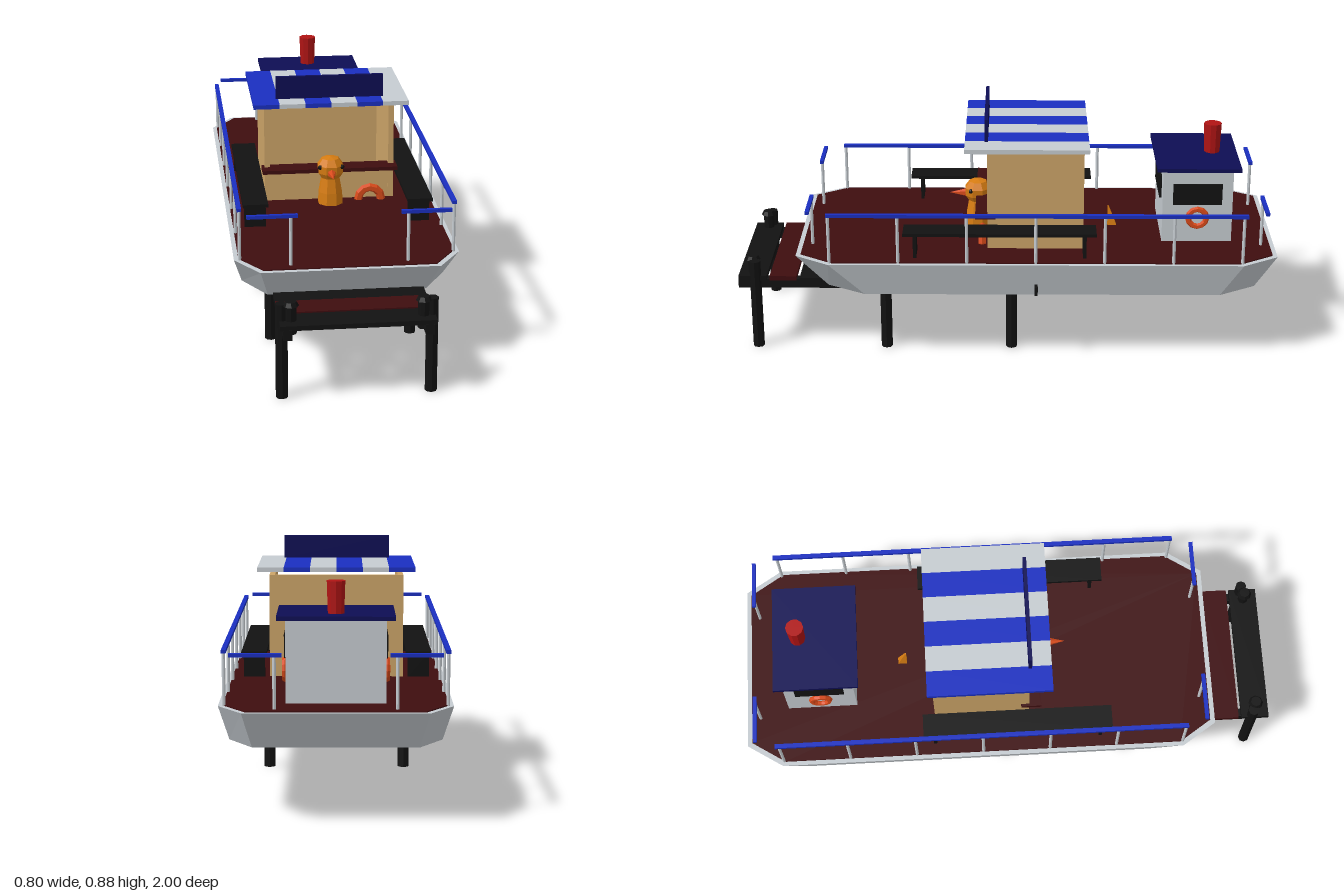
import * as THREE from 'three';

const mat = (name, color) => {
  const m = new THREE.MeshStandardMaterial({ color, flatShading: true });
  m.name = name;
  return m;
};

export function createModel() {
  const group = new THREE.Group();
  const M = {
    white: mat('pale grey paint', 0xc6ccd1),
    deck: mat('dark red planks', 0x3e0d0f),
    blue: mat('bright blue', 0x1a2fc0),
    navy: mat('navy', 0x0e0e54),
    tan: mat('tan wood', 0xcca468),
    black: mat('black', 0x121212),
    orange: mat('orange', 0xd67c12),
    ring: mat('red orange', 0xd84a1a),
    red: mat('red', 0xb01414),
  };
  const add = (name, geo, m, x = 0, y = 0, z = 0) => {
    const mesh = new THREE.Mesh(geo, m);
    mesh.name = name;
    mesh.position.set(x, y, z);
    group.add(mesh);
    return mesh;
  };
  // Box given by its extents on each axis
  const box = (name, m, x0, x1, y0, y1, z0, z1) =>
    add(name, new THREE.BoxGeometry(x1 - x0, y1 - y0, z1 - z0), m,
      (x0 + x1) / 2, (y0 + y1) / 2, (z0 + z1) / 2);
  const cyl = (name, m, rTop, rBottom, y0, y1, x, z, sides = 8) =>
    add(name, new THREE.CylinderGeometry(rTop, rBottom, y1 - y0, sides), m, x, (y0 + y1) / 2, z);

  // Closed solid between two outlines of [x, z] points
  const loft = (bottom, y0, top, y1) => {
    const v = [];
    const tri = (...pts) => pts.forEach(p => v.push(...p));
    const b = bottom.map(([x, z]) => [x, y0, z]);
    const t = top.map(([x, z]) => [x, y1, z]);
    const n = t.length;
    for (let i = 0; i < n; i++) {
      const j = (i + 1) % n;
      tri(b[i], b[j], t[j], b[i], t[j], t[i]);
      if (i > 0 && i < n - 1) tri(t[0], t[i], t[j], b[0], b[j], b[i]);
    }
    const g = new THREE.BufferGeometry();
    g.setAttribute('position', new THREE.Float32BufferAttribute(v, 3));
    g.computeVertexNormals();
    return g;
  };
  // Rectangle with cut corners
  const outline = (x, cx, zf, zfc, zb, zbc) => [
    [cx, zf], [x, zfc], [x, zbc], [cx, zb], [-cx, zb], [-x, zbc], [-x, zfc], [-cx, zf]];

  // Hull and deck
  add('hull', loft(outline(0.363, 0.28, 0.66, 0.52, -0.92, -0.785), 0.26,
    outline(0.396, 0.312, 0.775, 0.648, -0.997, -0.865), 0.39), M.white);
  const deckEdge = outline(0.38, 0.3, 0.757, 0.637, -0.98, -0.855);
  add('deck', loft(deckEdge, 0.385, deckEdge, 0.394), M.deck);
  box('sideFitting', M.black, 0.365, 0.404, 0.273, 0.305, -0.116, -0.104);

  // Keel plate, cone and fins below the hull
  const lens = [[0.03, 0.18], [0.085, 0.02], [0.085, -0.24], [0.02, -0.43],
    [-0.02, -0.43], [-0.085, -0.24], [-0.085, 0.02], [-0.03, 0.18]];
  add('keelPlate', loft(lens, 0.254, lens, 0.262), M.white);
  cyl('keelCone', M.red, 0.048, 0.002, 0.226, 0.251, 0, -0.112);
  for (const s of [-1, 1])
    box('keelFin', M.orange, s * 0.075 - 0.012, s * 0.075 + 0.012, 0.252, 0.258, -0.22, -0.12);

  // Open-fronted stall with counter
  for (const s of [-1, 1])
    box('stallSideWall', M.tan, s * 0.234 - 0.01, s * 0.234 + 0.01, 0.39, 0.767, -0.285, 0.07);
  box('stallBackWall', M.tan, -0.224, 0.224, 0.39, 0.767, -0.285, -0.265);
  box('stallFrontWall', M.tan, -0.224, 0.224, 0.39, 0.514, 0.052, 0.069);
  box('stallFloor', M.tan, -0.224, 0.224, 0.39, 0.4, -0.265, 0.052);
  box('counter', M.deck, -0.254, 0.254, 0.513, 0.527, 0.04, 0.115);

  // Striped awning and blank sign board
  const stripe = 0.0958;
  for (let i = 0; i < 6; i++) {
    const x = (i - 3) * stripe;
    box('awningStripe', i % 2 ? M.white : M.blue, x, x + stripe, 0.78, 0.796, -0.303, 0.152);
  }
  box('signBoard', M.navy, -0.2, 0.2, 0.796, 0.881, 0.067, 0.08);

  // Wheelhouse
  box('wheelhouse', M.white, -0.17, 0.17, 0.39, 0.68, -0.84, -0.58);
  box('wheelhouseRoof', M.navy, -0.2, 0.2, 0.678, 0.692, -0.866, -0.556);
  box('frontWindow', M.black, -0.11, 0.11, 0.545, 0.632, -0.58, -0.572);
  const lifeRing = (x, y, z, R, r) =>
    add('lifeRing', new THREE.TorusGeometry(R, r, 6, 12), M.ring, x, y, z);
  for (const s of [-1, 1]) {
    box('sideWindow', M.black, s * 0.172 - 0.004, s * 0.172 + 0.004, 0.542, 0.622, -0.8, -0.618);
    lifeRing(s * 0.175, 0.49, -0.71, 0.034, 0.011).rotation.y = Math.PI / 2;
  }
  cyl('chimney', M.red, 0.033, 0.029, 0.69, 0.803, 0, -0.773, 10);
  lifeRing(0.152, 0.397, 0.09, 0.043, 0.016);

  // Duck figure
  const profile = [[0, 0.39], [0.049, 0.39], [0.046, 0.44], [0.036, 0.495], [0.049, 0.515],
    [0.051, 0.545], [0.033, 0.57], [0, 0.577]].map(([x, y]) => new THREE.Vector2(x, y));
  add('duckBody', new THREE.LatheGeometry(profile, 8), M.orange, 0, 0, 0.11)
    .rotation.y = Math.PI / 8;
  add('duckBeak', new THREE.ConeGeometry(0.019, 0.075, 6), M.ring, 0, 0.522, 0.18)
    .rotation.x = Math.PI / 2;
  for (const s of [-1, 1])
    add('duckEye', new THREE.SphereGeometry(0.009, 6, 5), M.black, s * 0.041, 0.541, 0.135);
  add('duckTail', loft([[0.013, -0.385], [0.013, -0.42], [-0.013, -0.42], [-0.013, -0.385]], 0.39,
    [[0.003, -0.385], [0.003, -0.389], [-0.003, -0.389], [-0.003, -0.385]], 0.47), M.orange);

  for (const s of [-1, 1]) {
    // Benches
    box('benchSeat', M.black, s * 0.3 - 0.046, s * 0.3 + 0.046, 0.48, 0.492, -0.33, 0.378);
    for (const z of [0.335, -0.288])
      box('benchLeg', M.black, s * 0.3 - 0.039, s * 0.3 + 0.039, 0.39, 0.482, z - 0.006, z + 0.006);

    // Railings
    box('sideRail', M.blue, s * 0.376 - 0.008, s * 0.376 + 0.008, 0.569, 0.581, -0.875, 0.652);
    for (let i = 0; i < 7; i++)
      cyl('railPost', M.white, 0.006, 0.006, 0.39, 0.571, s * 0.376, 0.645 - i * 0.251);
    for (const z of [0.722, -0.947]) {
      box('endRail', M.blue, s * 0.267 - 0.088, s * 0.267 + 0.088, 0.569, 0.581, z - 0.007, z + 0.007);
      cyl('railPost', M.white, 0.006, 0.006, 0.39, 0.571, s * 0.204, z);
    }

    // Dock piles, bollards and long beams
    for (const [z, top] of [[0.935, 0.345], [0.45, 0.25], [-0.02, 0.25]])
      cyl('dockPile', M.black, 0.021, 0.021, 0, top, s * 0.256, z);
    cyl('bollard', M.black, 0.02, 0.02, 0.24, 0.342, s * 0.225, 0.945);
    cyl('bollardCap', M.black, 0.02, 0.028, 0.34, 0.355, s * 0.225, 0.945);
    box('dockBeam', M.black, s * 0.24 - 0.015, s * 0.24 + 0.015, 0.236, 0.272, -0.11, 1.0);
  }
  // Dock planks
  box('dockEndPlank', M.black, -0.265, 0.265, 0.27, 0.287, 0.893, 0.998);
  box('dockPlank', M.deck, -0.265, 0.265, 0.27, 0.287, 0.782, 0.882);
  box('dockInnerPlank', M.black, -0.265, 0.265, 0.262, 0.28, 0.69, 0.77);

  group.position.x = -0.004;
  const model = new THREE.Group();
  model.name = 'houseboat';
  model.add(group);
  return model;
}
